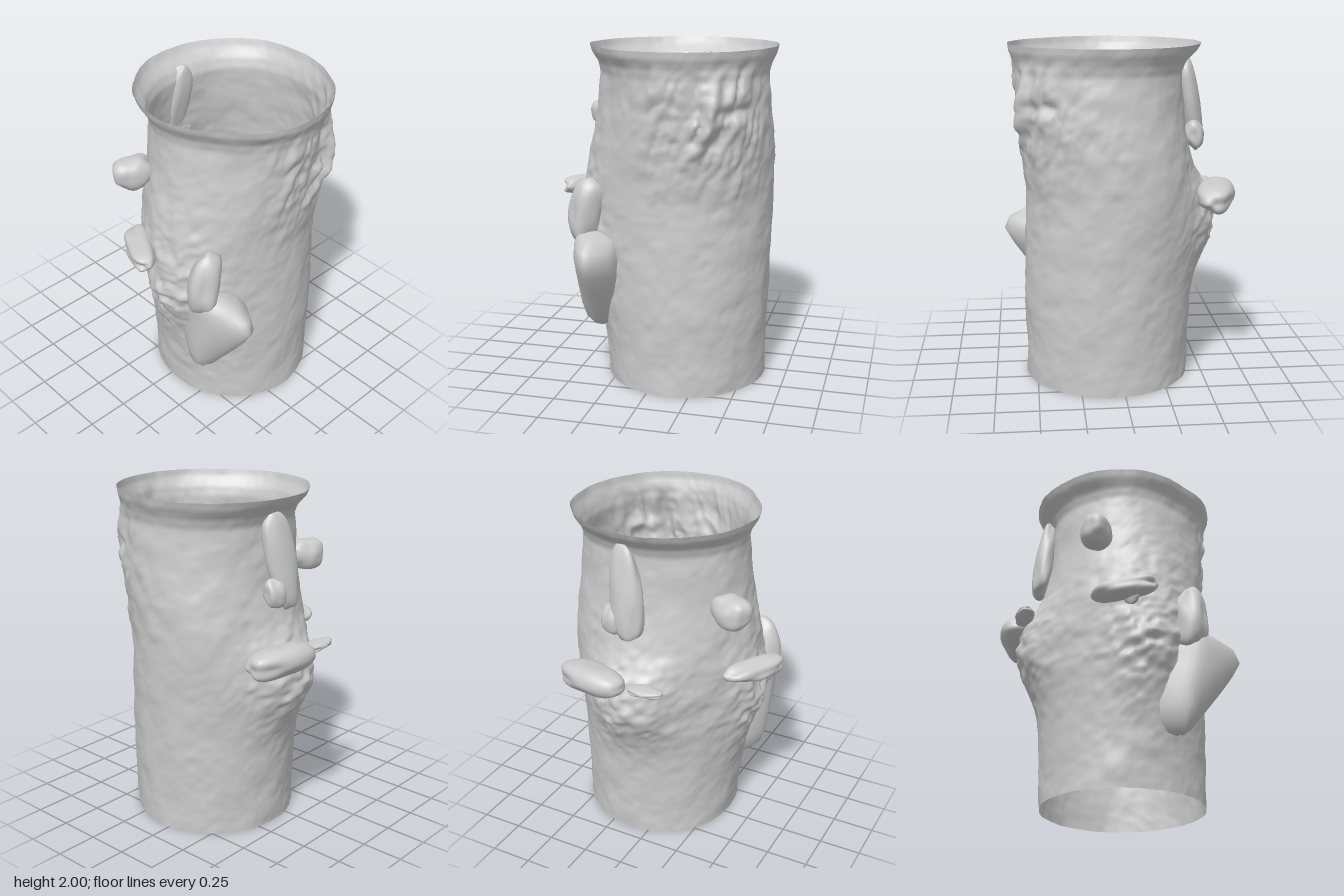
import * as THREE from 'three';
import { mergeVertices } from 'three/addons/utils/BufferGeometryUtils.js';

const material = new THREE.MeshStandardMaterial({ color: 0xcccccc, side: THREE.DoubleSide });

// Smooth seeded value noise in 3D, range -1..1
const hash = (x, y, z) => {
  const s = Math.sin(x * 127.1 + y * 311.7 + z * 74.7) * 43758.5453;
  return (s - Math.floor(s)) * 2 - 1;
};
function noise(x, y, z) {
  const [i, j, k] = [x, y, z].map(Math.floor);
  const [u, v, w] = [x - i, y - j, z - k].map(t => t * t * (3 - 2 * t));
  const mix = THREE.MathUtils.lerp;
  const row = (b, c) => mix(hash(i, b, c), hash(i + 1, b, c), u);
  return mix(mix(row(j, k), row(j + 1, k), v), mix(row(j, k + 1), row(j + 1, k + 1), v), w);
}

// Body outline by height: y, min x, max x, min z, max z
const PROFILE = [
  [0, -0.35, 0.61, -0.42, 0.56],
  [0.2, -0.36, 0.615, -0.42, 0.56],
  [0.45, -0.38, 0.625, -0.43, 0.57],
  [0.8, -0.41, 0.63, -0.44, 0.56],
  [1.15, -0.43, 0.63, -0.44, 0.55],
  [1.4, -0.425, 0.635, -0.41, 0.56],
  [1.6, -0.41, 0.62, -0.385, 0.575],
  [1.84, -0.40, 0.60, -0.375, 0.595],
  [1.9, -0.415, 0.615, -0.40, 0.61],
  [1.96, -0.45, 0.645, -0.455, 0.645],
  [2, -0.46, 0.655, -0.475, 0.65],
];
function outlineAt(y) {
  const n = Math.max(1, PROFILE.findIndex(p => p[0] >= y - 1e-6));
  const a = PROFILE[n - 1], b = PROFILE[n];
  const t = (y - a[0]) / (b[0] - a[0]);
  return a.map((v, i) => THREE.MathUtils.lerp(v, b[i], t));
}

// Soft patch on the wall, centred on an angle and a height
function patch(angle, y, a0, y0, aw, yw) {
  const d = Math.atan2(Math.sin(angle - a0), Math.cos(angle - a0));
  return Math.exp(-((d / aw) ** 2) - ((y - y0) / yw) ** 2);
}

// Thin open tube with a flared rim, swollen and rough patches
function createBody() {
  let geometry = new THREE.CylinderGeometry(1, 1, 2, 180, 140, true);
  geometry.deleteAttribute('uv');
  geometry.deleteAttribute('normal');
  geometry = mergeVertices(geometry);
  const p = geometry.attributes.position;
  for (let i = 0; i < p.count; i++) {
    const y = Math.min(2, Math.max(0, p.getY(i) + 1));
    const c = p.getX(i), s = p.getZ(i), angle = Math.atan2(s, c);
    const [, x0, x1, z0, z1] = outlineAt(y);
    const fade = THREE.MathUtils.smoothstep(2 - y, 0.02, 0.15);
    const side = patch(angle, y, 2.95, 0.92, 0.5, 0.36);
    const back = patch(angle, y, -1.62, 0.95, 0.47, 0.27);
    const front = patch(angle, y, 1.05, 1.6, 0.6, 0.3) * fade;
    const lean = 0.02 * patch(angle, y, -0.6, 1.9, 0.6, 0.6)
      + 0.025 * patch(angle, y, -0.65, 1.15, 0.5, 0.35)
      - 0.04 * patch(angle, y, 2.5, 2, 0.55, 0.4)
      - 0.02 * patch(angle, y, 2.5, 1.75, 0.5, 0.2);
    const fine = noise(c * 9, y * 18, s * 9) * 0.5 + noise(c * 18, y * 30, s * 18) * 0.3;
    const streak = Math.abs(noise(angle * 9 + y * 5, y * 5, 5)) - 0.3;
    const d = lean + 0.007 * noise(c * 4, y * 8, s * 4) + 0.005 * fine
      + side * (0.105 + 0.04 * fine) + back * (0.15 + 0.04 * fine)
      + front * (0.05 + 0.08 * streak + 0.02 * fine);
    p.setXYZ(i, (x0 + x1) / 2 + c * ((x1 - x0) / 2 + d), y, (z0 + z1) / 2 + s * ((z1 - z0) / 2 + d));
  }
  geometry.computeVertexNormals();
  return geometry;
}

// Rounded lump running from one point to another; flat is its thin direction
function createLump(from, to, width, thick, flat, seed) {
  const a = new THREE.Vector3(...from), b = new THREE.Vector3(...to);
  const along = b.clone().sub(a), half = along.length() / 2;
  along.normalize();
  const across = new THREE.Vector3(...flat).cross(along).normalize();
  let geometry = new THREE.SphereGeometry(1, 36, 24);
  geometry.deleteAttribute('uv');
  geometry.deleteAttribute('normal');
  geometry = mergeVertices(geometry);
  const p = geometry.attributes.position, v = new THREE.Vector3(), e = 2.5;
  for (let i = 0; i < p.count; i++) {
    v.fromBufferAttribute(p, i);
    const box = Math.pow(Math.abs(v.x) ** e + Math.abs(v.y) ** e + Math.abs(v.z) ** e, -1 / e);
    const k = box * (0.98 + 0.16 * noise(v.x * 1.6 + seed, v.y * 1.6, v.z * 1.6 + 7));
    p.setXYZ(i, v.x * k * width, v.y * k * half, v.z * k * thick);
  }
  geometry.applyMatrix4(new THREE.Matrix4().makeBasis(across, along, across.clone().cross(along))
    .setPosition(a.add(b).multiplyScalar(0.5)));
  geometry.computeVertexNormals();
  return geometry;
}

// Large wedge: rounded five-cornered sections stacked upward, reaching through the wall
function createWedge() {
  // y, size of the section, z of the outer ridge, inward shift
  const levels = [
    [0.32, 0.05, 0.36, 0.08], [0.33, 0.4, 0.39, 0.08], [0.38, 0.75, 0.43, 0.08],
    [0.47, 0.93, 0.48, 0.07], [0.6, 1, 0.57, 0.05], [0.7, 1, 0.64, 0.02],
    [0.79, 1, 0.69, 0], [0.86, 0.97, 0.67, 0], [0.91, 0.85, 0.6, 0],
    [0.93, 0.4, 0.54, 0], [0.93, 0.03, 0.47, 0],
  ];
  const n = 40, points = [], index = [];
  levels.forEach(([y, k, ridge, shift], row) => {
    const cx = -0.33, cz = 0.4 - shift;
    const corners = [[-0.46, 0.43 - shift], [-0.33, ridge], [-0.21, ridge - 0.13],
      [-0.2, 0.37 - shift / 2], [-0.33, 0.19 - shift]];
    const curve = new THREE.CatmullRomCurve3(
      corners.map(([x, z]) => new THREE.Vector3(cx + (x - cx) * k, y, cz + (z - cz) * k)), true);
    for (let i = 0; i < n; i++) {
      const v = curve.getPoint(i / n);
      points.push(v.x, v.y - (v.x + 0.33) * 0.15 * THREE.MathUtils.smoothstep(y, 0.6, 0.85), v.z);
      const a = row * n + i, b = row * n + (i + 1) % n;
      if (row < levels.length - 1) index.push(a, b, a + n, b, b + n, a + n);
    }
  });
  const geometry = new THREE.BufferGeometry();
  geometry.setAttribute('position', new THREE.Float32BufferAttribute(points, 3));
  geometry.setIndex(index);
  geometry.computeVertexNormals();
  return geometry;
}

export function createModel() {
  const model = new THREE.Group();
  const add = (name, geometry) => {
    const mesh = new THREE.Mesh(geometry, material);
    mesh.name = name;
    model.add(mesh);
  };
  add('tubeBody', createBody());
  add('frontWedge', createWedge());

  // name, start, end, half width, half thickness, thin direction
  const lumps = [
    ['backLongLump', [0.15, 1.91, -0.385], [0.06, 1.36, -0.47], 0.1, 0.06, [0, 0, 1]],
    ['backSmallLump', [0.17, 1.55, -0.43], [0.18, 1.38, -0.46], 0.07, 0.055, [0, 0, 1]],
    ['backShelf', [0.04, 1.13, -0.625], [0.48, 1.1, -0.51], 0.115, 0.085, [0, 1, 0]],
    ['backBlade', [-0.2, 1.12, -0.55], [0.03, 1.11, -0.57], 0.055, 0.025, [0, 1, 0]],
    ['sideUpperLump', [-0.33, 1.54, -0.12], [-0.54, 1.52, -0.24], 0.09, 0.1, [0, 1, 0]],
    ['sideShelf', [-0.62, 1.12, 0.14], [-0.43, 1.12, -0.2], 0.08, 0.055, [0, 1, 0]],
    ['sideFin', [-0.45, 1.13, -0.02], [-0.55, 1.05, 0.04], 0.05, 0.025, [0.4, 0, 1]],
    ['sideLowerLump', [-0.37, 1.23, 0.38], [-0.43, 0.83, 0.38], 0.09, 0.1, [1, 0, -1]],
  ];
  lumps.forEach(([name, ...spec], i) => add(name, createLump(...spec, i * 5.3)));
  return model;
}
